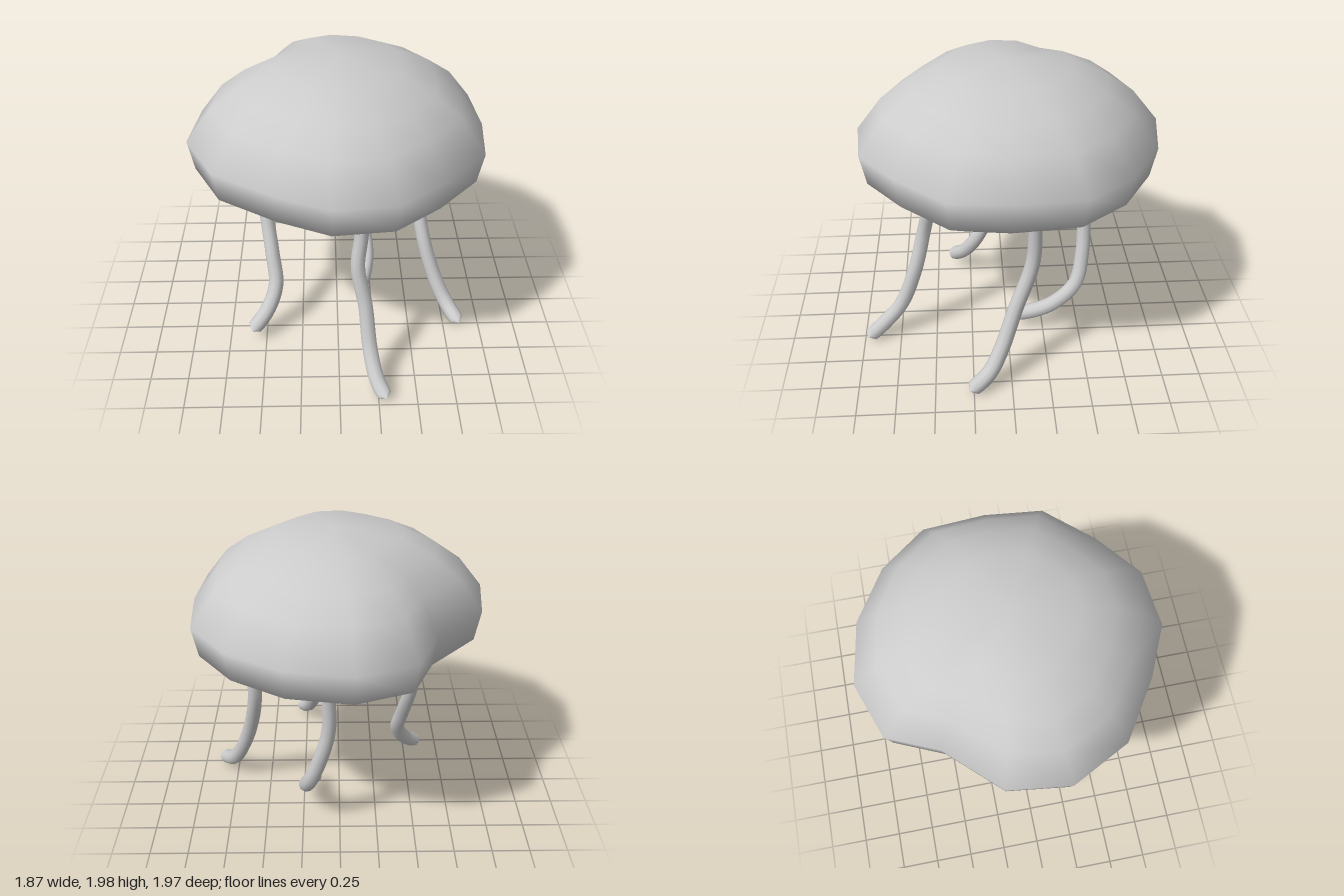
import * as THREE from 'three';

const material = new THREE.MeshStandardMaterial({ color: 0xcccccc });

// Uneven rim of the bell seen from above, as [x, z]
const rim = [
  [-0.08, -0.99], [0.33, -0.92], [0.67, -0.71], [0.9, -0.41], [0.93, 0],
  [0.89, 0.38], [0.62, 0.68], [0.33, 0.91], [-0.05, 0.95], [-0.38, 0.8],
  [-0.75, 0.56], [-0.94, 0.19], [-0.89, -0.21], [-0.58, -0.54], [-0.44, -0.86],
];

// Rings of the bell from the underside to the crown, as [scale, y];
// rings without a height follow the gently arched underside
const rings = [
  [0.35, null], [0.69, null], [0.96, 1.31], [1, 1.51],
  [0.83, 1.72], [0.66, 1.84], [0.43, 1.95],
];
const undersideY = (x) => 1.195 - 0.04 * x - 0.1 * x * x;

function makeBell() {
  const n = rim.length;
  const positions = [];
  const index = [];
  for (const [scale, y] of rings) {
    for (const [x, z] of rim) {
      positions.push(x * scale, y ?? undersideY(x * scale), z * scale);
    }
  }
  const bottom = n * rings.length;
  const crown = bottom + 1;
  positions.push(0, undersideY(0), 0, 0.02, 2, 0);

  for (let i = 0; i < n; i++) {
    const j = (i + 1) % n;
    for (let r = 0; r < rings.length - 1; r++) {
      const a = r * n + i;
      const b = r * n + j;
      index.push(a, a + n, b + n, a, b + n, b);
    }
    const last = (rings.length - 1) * n;
    index.push(bottom, i, j, last + i, crown, last + j);
  }
  const geometry = new THREE.BufferGeometry();
  geometry.setAttribute('position', new THREE.Float32BufferAttribute(positions, 3));
  geometry.setIndex(index);
  geometry.computeVertexNormals();
  const bell = new THREE.Mesh(geometry, material);
  bell.name = 'bell';
  return bell;
}

// Bent tentacle: a tube that swells slightly towards a rounded tip
function makeTentacle(name, points) {
  const steps = 40;
  const sides = 10;
  const curve = new THREE.CatmullRomCurve3(points.map((p) => new THREE.Vector3(...p)));
  const geometry = new THREE.TubeGeometry(curve, steps, 1, sides, false);
  const position = geometry.attributes.position;
  const length = curve.getLength();
  const vertex = new THREE.Vector3();
  for (let i = 0; i <= steps; i++) {
    const t = i / steps;
    const centre = curve.getPointAt(t);
    const full = 0.044 + 0.01 * t;
    const toTip = Math.min(1, ((1 - t) * length) / full);
    const radius = full * Math.sqrt(1 - (1 - toTip) ** 2);
    for (let j = 0; j <= sides; j++) {
      const k = i * (sides + 1) + j;
      vertex.fromBufferAttribute(position, k).sub(centre).multiplyScalar(radius).add(centre);
      position.setXYZ(k, vertex.x, vertex.y, vertex.z);
    }
  }
  const tentacle = new THREE.Mesh(geometry, material);
  tentacle.name = name;
  return tentacle;
}

// Centre lines from the underside down to the tip
const tentacles = {
  rightTentacle: [
    [-0.51, 1.25, -0.06], [-0.51, 1.03, -0.05], [-0.49, 0.83, -0.03], [-0.45, 0.55, 0.1],
    [-0.43, 0.36, 0.2], [-0.49, 0.21, 0.29], [-0.6, 0.1, 0.39],
  ],
  backTentacle: [
    [0.08, 1.25, -0.53], [0.07, 0.85, -0.53], [0.13, 0.6, -0.52], [0.2, 0.39, -0.47],
    [0.23, 0.24, -0.31], [0.2, 0.15, -0.14], [0.16, 0.11, -0.04],
  ],
  frontTentacle: [
    [0.16, 1.25, 0.51], [0.14, 1, 0.52], [0.12, 0.8, 0.56], [0.17, 0.53, 0.63],
    [0.2, 0.26, 0.74], [0.24, 0.12, 0.87], [0.3, 0.05, 0.98],
  ],
  leftTentacle: [
    [0.57, 1.25, -0.15], [0.565, 0.85, -0.14], [0.62, 0.53, -0.03], [0.71, 0.26, 0.07],
    [0.78, 0.13, 0.15], [0.86, 0.05, 0.28],
  ],
};

export function createModel() {
  const model = new THREE.Group();
  model.name = 'jellyfish';
  model.add(makeBell());
  for (const [name, points] of Object.entries(tentacles)) {
    model.add(makeTentacle(name, points));
  }
  return model;
}
